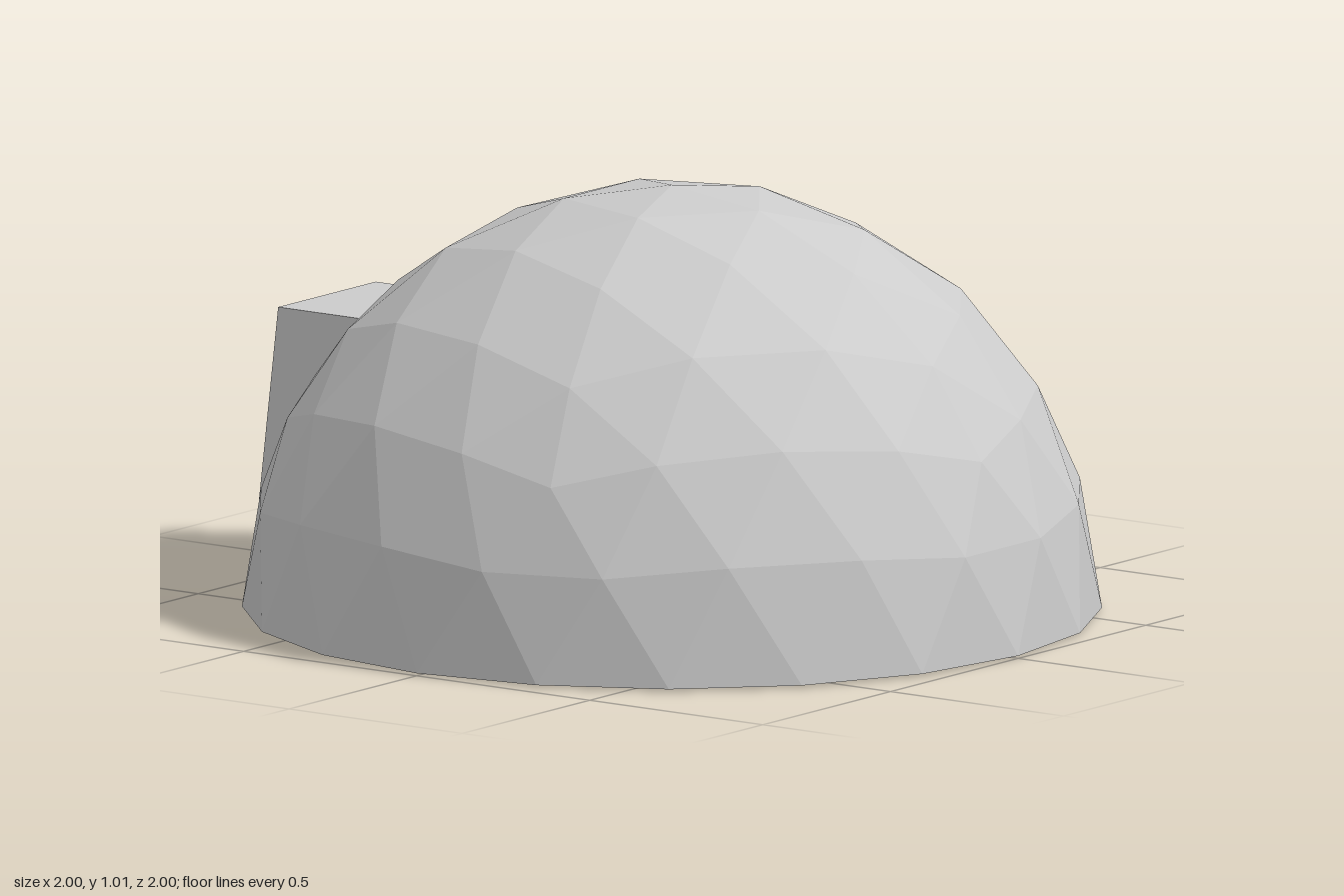
import * as THREE from 'three';

const BASE = 0.006; // the dome sits slightly above the foot of the porch

export function createModel() {
  const group = new THREE.Group();
  const material = new THREE.MeshStandardMaterial({ color: 0xcccccc, flatShading: true });
  const add = (name, geometry) => {
    const mesh = new THREE.Mesh(geometry, material);
    mesh.name = name;
    group.add(mesh);
    return mesh;
  };

  // Geodesic dome: the upper half of an icosphere turned so that one corner points up
  const sphere = new THREE.IcosahedronGeometry(1, 3);
  sphere.rotateZ(-Math.atan(2 / (1 + Math.sqrt(5))));
  const p = sphere.attributes.position;
  const kept = [];
  for (let i = 0; i < p.count; i += 3) {
    if (p.getY(i) + p.getY(i + 1) + p.getY(i + 2) < 0.01) continue;
    for (let k = i; k < i + 3; k++) kept.push(p.getX(k), p.getY(k), p.getZ(k));
  }
  const domeGeometry = new THREE.BufferGeometry();
  domeGeometry.setAttribute('position', new THREE.Float32BufferAttribute(kept, 3));
  domeGeometry.computeVertexNormals();
  add('dome', domeGeometry).position.y = BASE;

  // Flat underside, one side per bottom edge of the dome
  const floor = new THREE.CircleGeometry(1, 20);
  floor.rotateX(Math.PI / 2);
  add('floor', floor).position.y = BASE;

  // Tapered porch block on the right side, drawn as a (z, y) section and extruded along x
  const section = new THREE.Shape([
    [-0.31, 0], [0.278, 0], [0.278, 0.09], [0.187, 0.63], [-0.195, 0.63], [-0.31, 0.09],
  ].map(([z, y]) => new THREE.Vector2(z, y)));
  const porch = new THREE.ExtrudeGeometry(section, { depth: 0.37, bevelEnabled: false });
  porch.rotateY(-Math.PI / 2);
  porch.translate(-0.63, 0, 0);
  add('porch', porch);

  return group;
}
